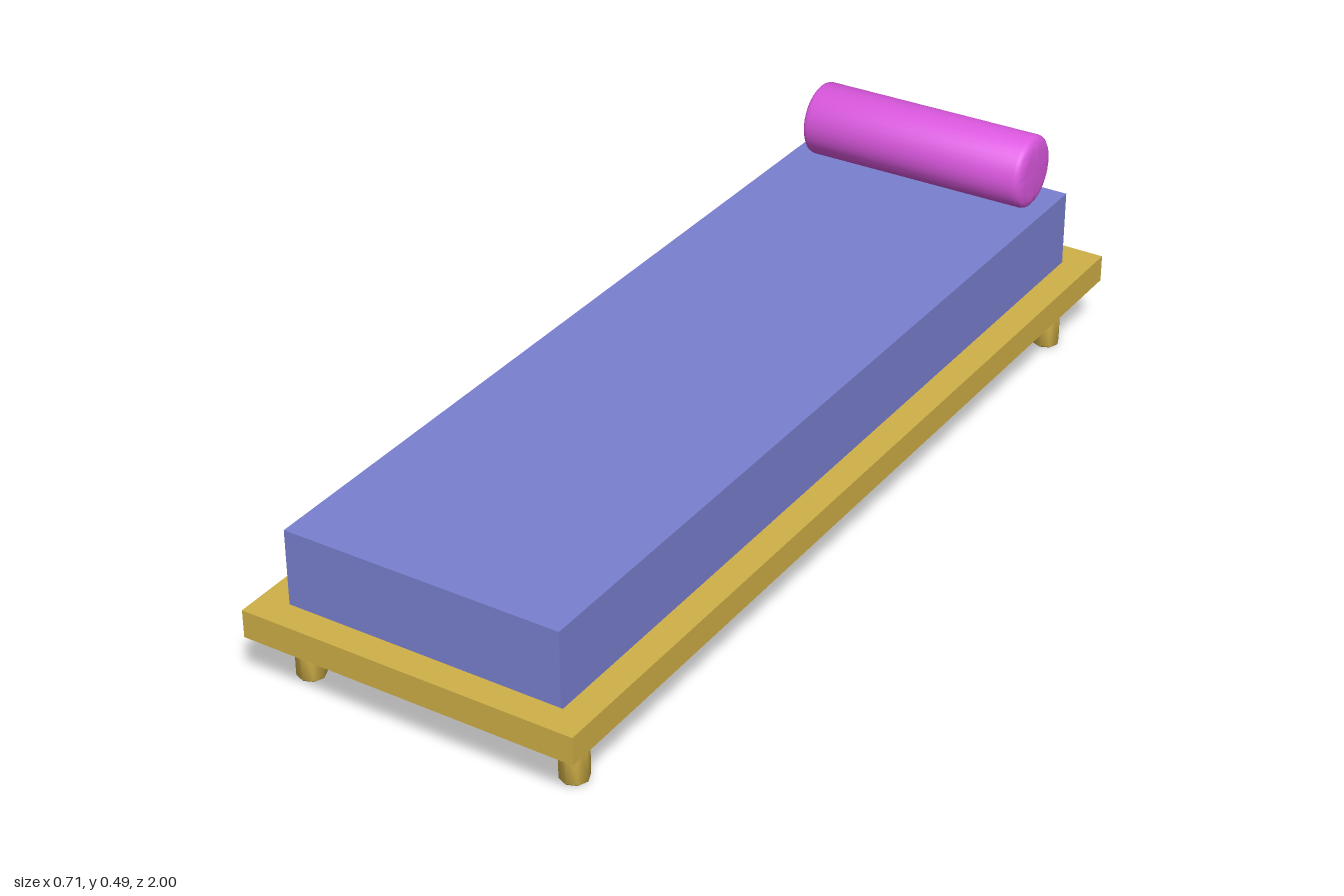
import * as THREE from 'three';
import { toCreasedNormals } from 'three/addons/utils/BufferGeometryUtils.js';

const wood = new THREE.MeshStandardMaterial({ color: 0xd0b048 });
const fabric = new THREE.MeshStandardMaterial({ color: 0x7a80d0 });
const pillow = new THREE.MeshStandardMaterial({ color: 0xdc58e0 });

function add(group, name, geometry, material, x, y, z) {
  const mesh = new THREE.Mesh(geometry, material);
  mesh.name = name;
  mesh.position.set(x, y, z);
  group.add(mesh);
  return mesh;
}

// Solid cylinder along y with rounded rims: inset is radial, drop is axial
function roundedCylinder(radius, height, inset, drop, sides) {
  const h = height / 2, steps = 4, points = [new THREE.Vector2(0, -h)];
  for (const end of [-1, 1]) {
    for (let i = 0; i <= steps; i++) {
      const a = (end < 0 ? i : steps - i) / steps * Math.PI / 2;
      points.push(new THREE.Vector2(
        radius - inset + inset * Math.sin(a),
        end * (h - drop + drop * Math.cos(a))));
    }
  }
  points.push(new THREE.Vector2(0, h));
  return new THREE.LatheGeometry(points, sides);
}

export function createModel() {
  const bed = new THREE.Group();
  bed.name = 'bed';

  // Frame: two long rails between two full-width end rails
  const frame = new THREE.Group();
  frame.name = 'frame';
  bed.add(frame);
  const railY = 0.148, railH = 0.058, railW = 0.06, halfX = 0.355;
  for (const s of [-1, 1]) {
    add(frame, s > 0 ? 'leftRail' : 'rightRail',
      new THREE.BoxGeometry(railW, railH, 2 - 2 * railW), wood, s * (halfX - railW / 2), railY, 0);
    add(frame, s > 0 ? 'footRail' : 'headRail',
      new THREE.BoxGeometry(2 * halfX, railH, railW), wood, 0, railY, s * (1 - railW / 2));
  }

  // Legs, slightly rounded at both ends
  const legGeometry = toCreasedNormals(roundedCylinder(0.029, 0.12, 0.004, 0.005, 8), 0.9);
  for (const x of [-0.291, 0.286])
    for (const z of [-0.892, 0.897])
      add(bed, 'leg', legGeometry, wood, x, 0.06, z);

  // Mattress set into the frame
  const bottom = 0.14, top = 0.335;
  add(bed, 'mattress', new THREE.BoxGeometry(0.586, top - bottom, 1.88), fabric,
    -0.002, (top + bottom) / 2, 0);

  // Bolster lying across the head end, turned a little
  const bolsterGeometry = toCreasedNormals(roundedCylinder(0.078, 0.515, 0.028, 0.015, 40), 0.6);
  bolsterGeometry.rotateZ(Math.PI / 2);
  add(bed, 'bolster', bolsterGeometry, pillow, 0.002, 0.413, -0.848).rotation.y = 0.02;

  return bed;
}
